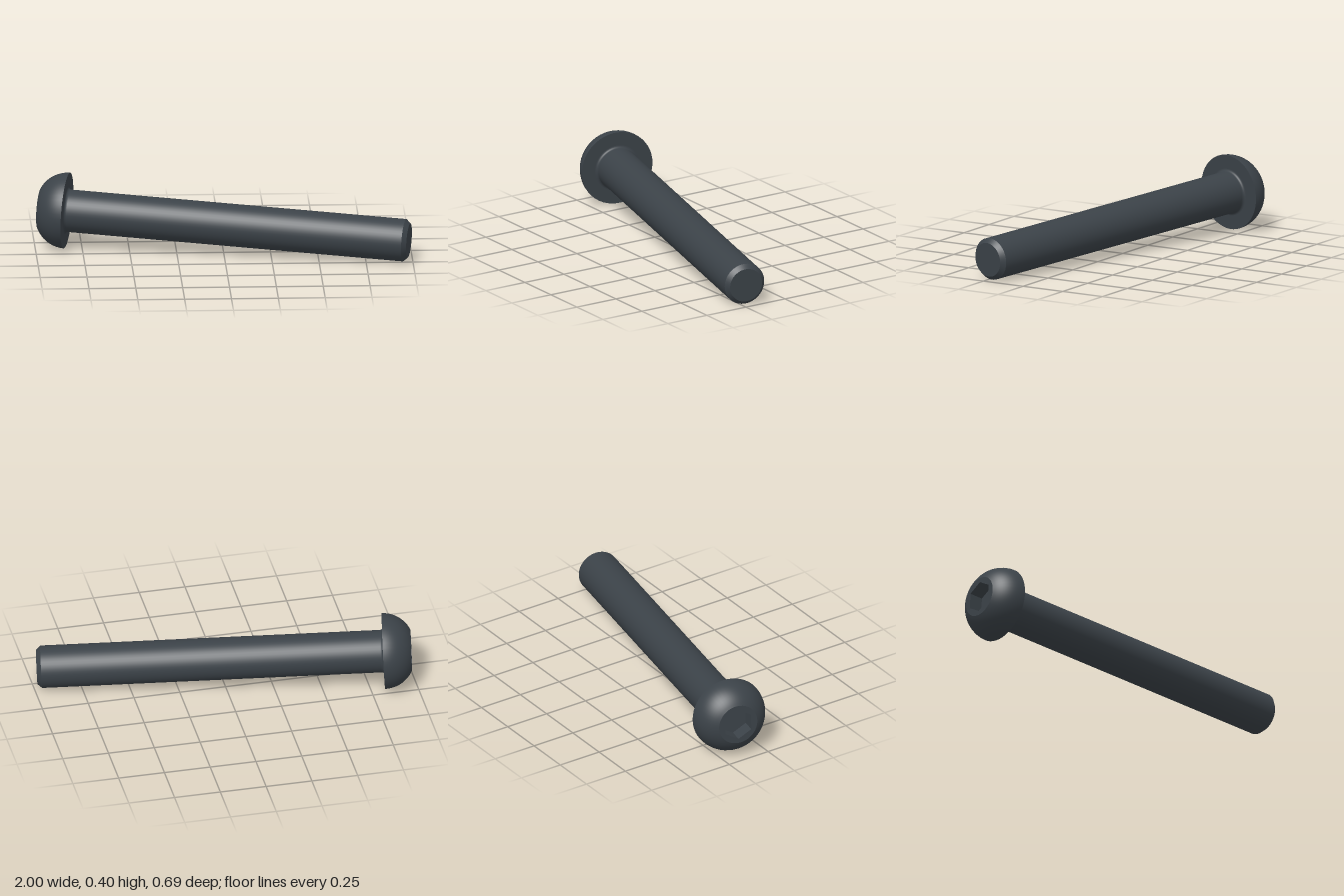
import * as THREE from 'three';

const SHANK_R = 0.1135, HEAD_R = 0.2025, HEAD_H = 0.148, FLAT_R = 0.11;
const LENGTH = 1.851, CHAMFER = 0.024, TIP_R = 0.092, FILLET = 0.014;
const HEX_R = 0.086, HEX_DEPTH = 0.08;

export function createModel() {
  const steel = new THREE.MeshStandardMaterial({ color: 0x3b4248 });
  steel.name = 'blackened steel';
  const bolt = new THREE.Group();
  bolt.name = 'buttonHeadBolt';

  const add = (name, geometry) => {
    const mesh = new THREE.Mesh(geometry, steel);
    mesh.name = name;
    bolt.add(mesh);
  };
  // Each turned surface is its own lathe, so the edges between them stay sharp.
  const turn = (name, points) =>
    add(name, new THREE.LatheGeometry(points.map(([r, y]) => new THREE.Vector2(r, y)), 48));
  const arc = (n, fn) => Array.from({ length: n + 1 }, (_, i) => fn(i / n));

  // Domed head: an arc that meets the rim parallel to the axis
  const drop = HEAD_R - FLAT_R;
  const domeR = (drop * drop + HEAD_H * HEAD_H) / (2 * drop);
  const sweep = Math.asin(HEAD_H / domeR);
  turn('headDome', arc(14, t => {
    const a = sweep * (1 - t);
    return [HEAD_R - domeR + domeR * Math.cos(a), -domeR * Math.sin(a)];
  }));
  turn('headUnderside', [[HEAD_R, 0], [SHANK_R + FILLET, 0]]);

  // Shank with a fillet under the head and a chamfered tip
  turn('shankFillet', arc(5, t => {
    const a = t * Math.PI / 2;
    return [SHANK_R + FILLET * (1 - Math.sin(a)), FILLET * (1 - Math.cos(a))];
  }));
  turn('shank', [[SHANK_R, FILLET], [SHANK_R, LENGTH - CHAMFER]]);
  turn('tipChamfer', [[SHANK_R, LENGTH - CHAMFER], [TIP_R, LENGTH]]);
  turn('tipFace', [[TIP_R, LENGTH], [0, LENGTH]]);

  // Flat top of the head, pierced by the hexagon
  const flat = new THREE.Shape().absarc(0, 0, FLAT_R, 0, Math.PI * 2);
  const corners = Array.from({ length: 6 }, (_, i) => {
    const a = Math.PI / 2 - i * Math.PI / 3;
    return new THREE.Vector2(HEX_R * Math.cos(a), HEX_R * Math.sin(a));
  });
  flat.holes.push(new THREE.Path(corners));
  add('headFlat', new THREE.ShapeGeometry(flat, 24).rotateX(Math.PI / 2).translate(0, -HEAD_H, 0));

  // Hexagonal socket: mirrored so that its walls face inward
  const walls = new THREE.CylinderGeometry(HEX_R, HEX_R, HEX_DEPTH, 6, 1, true).toNonIndexed();
  const p = walls.attributes.position;
  for (let i = 0; i < p.count; i += 3) {
    const b = new THREE.Vector3().fromBufferAttribute(p, i + 1);
    const c = new THREE.Vector3().fromBufferAttribute(p, i + 2);
    p.setXYZ(i + 1, c.x, c.y, c.z);
    p.setXYZ(i + 2, b.x, b.y, b.z);
  }
  walls.computeVertexNormals();
  add('socketWalls', walls.translate(0, HEX_DEPTH / 2 - HEAD_H, 0));
  add('socketFloor', new THREE.CircleGeometry(HEX_R, 6, Math.PI / 2)
    .rotateX(Math.PI / 2).translate(0, HEX_DEPTH - HEAD_H, 0));

  // Lay the bolt down, resting on its head rim and tip
  const axis = new THREE.Vector3(0.9776, -0.0475, 0.2053).normalize();
  const up = new THREE.Vector3(0, 1, 0).addScaledVector(axis, -axis.y).normalize();
  const side = new THREE.Vector3().crossVectors(axis, up);
  bolt.quaternion.setFromRotationMatrix(new THREE.Matrix4().makeBasis(side, axis, up));
  bolt.position.set(-0.83, 0.2025, -0.145);

  const model = new THREE.Group();
  model.name = 'bolt';
  model.add(bolt);
  return model;
}
